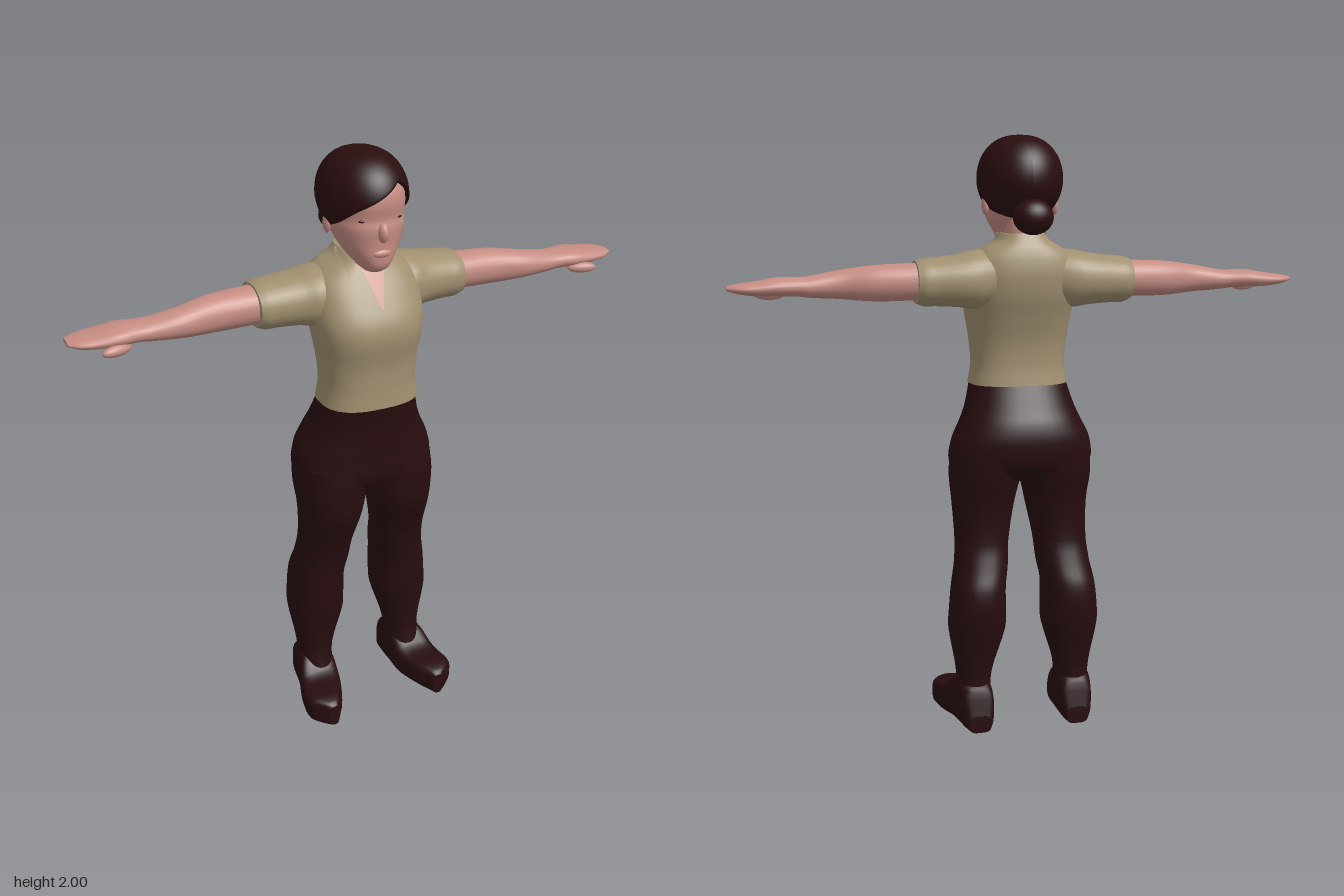
import * as THREE from 'three';

const mat = (name, color, side = THREE.FrontSide) => {
  const m = new THREE.MeshStandardMaterial({ color, side });
  m.name = name;
  return m;
};

// Smooth interpolation of a row [t, a0, a1, b0, b1] at position t
function sample(rows, t) {
  let i = 0;
  while (i < rows.length - 2 && t > rows[i + 1][0]) i++;
  const slope = (k, c) => {
    const p = rows[Math.max(0, k - 1)], n = rows[Math.min(rows.length - 1, k + 1)];
    return (n[c] - p[c]) / (n[0] - p[0]);
  };
  const p = rows[i], q = rows[i + 1], h = q[0] - p[0], s = (t - p[0]) / h;
  const s2 = s * s, s3 = s2 * s;
  return [1, 2, 3, 4].map((c) => (2 * s3 - 3 * s2 + 1) * p[c] + (3 * s2 - 2 * s3) * q[c]
    + (s3 - 2 * s2 + s) * h * slope(i, c) + (s3 - s2) * h * slope(i + 1, c));
}

function buildGeometry(pos, idx) {
  const g = new THREE.BufferGeometry();
  g.setAttribute('position', new THREE.Float32BufferAttribute(pos, 3));
  g.setIndex(idx);
  g.computeVertexNormals();
  return g;
}

// Closed body through rounded cross-sections along an axis; side -1 mirrors it in x
function loft(rows, { axis = 'y', power = 2, side = 1, segs = 32, steps = 4 } = {}) {
  const ts = [];
  for (let i = 0; i < rows.length - 1; i++)
    for (let k = 0; k < steps; k++) ts.push(rows[i][0] + (rows[i + 1][0] - rows[i][0]) * k / steps);
  ts.push(rows[rows.length - 1][0]);
  const pos = [], idx = [];
  const flip = (axis !== 'y') !== (side < 0);
  const put = (t, a, b) => {
    const [x, y, z] = axis === 'y' ? [a, t, b] : axis === 'x' ? [t, a, b] : [a, b, t];
    return pos.push(x * side, y, z) / 3 - 1;
  };
  const tri = (a, b, c) => (flip ? idx.push(a, c, b) : idx.push(a, b, c));
  const round = (v) => Math.sign(v) * Math.abs(v) ** (2 / power);
  const ring = (t) => {
    const [a0, a1, b0, b1] = sample(rows, t), ids = [];
    for (let j = 0; j < segs; j++) {
      const w = j / segs * Math.PI * 2;
      ids.push(put(t, (a0 + a1) / 2 + (a1 - a0) / 2 * round(Math.cos(w)),
        (b0 + b1) / 2 + (b1 - b0) / 2 * round(Math.sin(w))));
    }
    return ids;
  };
  const rings = ts.map(ring);
  for (let i = 0; i < rings.length - 1; i++)
    for (let j = 0; j < segs; j++) {
      const n = (j + 1) % segs, A = rings[i], B = rings[i + 1];
      tri(A[j], B[j], A[n]);
      tri(A[n], B[j], B[n]);
    }
  for (const [t, end] of [[ts[0], 0], [ts[ts.length - 1], 1]]) {
    const ids = ring(t), [a0, a1, b0, b1] = sample(rows, t);
    const c = put(t, (a0 + a1) / 2, (b0 + b1) / 2);
    for (let j = 0; j < segs; j++) {
      const n = (j + 1) % segs;
      if (end) tri(c, ids[n], ids[j]); else tri(c, ids[j], ids[n]);
    }
  }
  return buildGeometry(pos, idx);
}

// Thin sheet lying on the front of a body; edges are [x at bottom, x at top]
function frontPatch(rows, power, [y0, y1], edgeA, edgeB, offset) {
  const pos = [], idx = [], n = 12;
  for (let i = 0; i <= n; i++)
    for (let j = 0; j <= n; j++) {
      const v = i / n, y = y0 + (y1 - y0) * v;
      const xa = edgeA[0] + (edgeA[1] - edgeA[0]) * v, xb = edgeB[0] + (edgeB[1] - edgeB[0]) * v;
      const x = Math.min(xa, xb) + Math.abs(xb - xa) * j / n;
      const [a0, a1, b0, b1] = sample(rows, y);
      const r = Math.min(1, Math.abs((x - (a0 + a1) / 2) / ((a1 - a0) / 2)));
      pos.push(x, y, (b0 + b1) / 2 + (b1 - b0) / 2 * (1 - r ** power) ** (1 / power) + offset);
      if (i < n && j < n) {
        const a = i * (n + 1) + j, c = a + n + 1;
        idx.push(a, a + 1, c, a + 1, c + 1, c);
      }
    }
  return buildGeometry(pos, idx);
}

// Hair cap from the crown to a hairline given as [degrees from front, height]
function hairCap() {
  const line = [[-180, 1.73], [-130, 1.73], [-95, 1.76], [-60, 1.8], [-35, 1.845], [0, 1.89], [25, 1.925],
    [45, 1.89], [65, 1.83], [95, 1.76], [130, 1.73], [180, 1.73]];
  const pos = [], idx = [], segs = 64, rows = 18;
  for (let i = 0; i <= rows + 1; i++)
    for (let j = 0; j <= segs; j++) {
      const deg = -180 + 360 * j / segs, th = deg * Math.PI / 180;
      let k = 0;
      while (k < line.length - 2 && deg > line[k + 1][0]) k++;
      const [d0, h0] = line[k], [d1, h1] = line[k + 1];
      const low = h0 + (h1 - h0) * (deg - d0) / (d1 - d0);
      const phi = Math.acos((low - 1.86) / 0.14) * Math.min(1, i / rows);
      const r = Math.sin(phi) ** 0.85 * (i > rows ? 0.75 : 1);
      pos.push(0.14 * r * Math.sin(th), 1.86 + 0.14 * Math.cos(phi), 0.005 + 0.175 * r * Math.cos(th));
      if (i <= rows && j < segs) {
        const a = i * (segs + 1) + j, c = a + segs + 1;
        idx.push(a, c, a + 1, a + 1, c, c + 1);
      }
    }
  return buildGeometry(pos, idx);
}

export function createModel() {
  const model = new THREE.Group();
  const skin = mat('skin', 0xc68d83);
  const shirt = mat('tan shirt', 0xa19070, THREE.DoubleSide);
  const trousers = mat('dark trousers', 0x270d0f);
  const hair = mat('dark hair', 0x2a0d0f, THREE.DoubleSide);
  const add = (name, geo, material) => {
    const m = new THREE.Mesh(geo, material);
    m.name = name;
    model.add(m);
    return m;
  };
  const blob = (name, material, p, s) => {
    const m = add(name, new THREE.SphereGeometry(1, 24, 16), material);
    m.position.set(...p);
    m.scale.set(...s);
    return m;
  };

  // Shirt body with its open neck
  const torso = [
    [1.185, -0.167, 0.167, -0.092, 0.172], [1.25, -0.157, 0.157, -0.085, 0.168],
    [1.33, -0.163, 0.163, -0.09, 0.17], [1.42, -0.177, 0.177, -0.115, 0.187],
    [1.48, -0.185, 0.185, -0.135, 0.178], [1.55, -0.185, 0.185, -0.145, 0.14],
    [1.6, -0.172, 0.172, -0.14, 0.108], [1.635, -0.135, 0.135, -0.13, 0.085],
    [1.66, -0.09, 0.09, -0.118, 0.068], [1.685, -0.07, 0.07, -0.105, 0.045]];
  add('shirtBody', loft(torso, { power: 2.6, segs: 48 }), shirt);
  add('openNeck', frontPatch(torso, 2.6, [1.52, 1.68], [0, 0], [-0.001, -0.052], 0.005), skin);
  add('openNeck', frontPatch(torso, 2.6, [1.52, 1.68], [0, 0], [0.001, 0.052], 0.005), skin);

  // Hips
  add('hips', loft([
    [0.87, -0.2, 0.2, -0.11, 0.13], [0.92, -0.243, 0.243, -0.15, 0.154], [1.0, -0.235, 0.235, -0.165, 0.155],
    [1.06, -0.207, 0.207, -0.155, 0.155], [1.11, -0.186, 0.186, -0.13, 0.157], [1.19, -0.164, 0.164, -0.09, 0.168],
  ], { power: 2.3, segs: 40 }), trousers);

  // Neck and head
  add('neck', loft([
    [1.6, -0.06, 0.06, -0.09, 0.035], [1.68, -0.058, 0.058, -0.085, 0.045], [1.76, -0.06, 0.06, -0.08, 0.05]]), skin);
  add('head', loft([
    [1.637, -0.03, 0.03, 0.05, 0.125], [1.655, -0.05, 0.05, 0, 0.15], [1.69, -0.075, 0.075, -0.04, 0.157],
    [1.73, -0.1, 0.1, -0.07, 0.156], [1.78, -0.115, 0.115, -0.09, 0.16], [1.81, -0.117, 0.117, -0.1, 0.155],
    [1.86, -0.12, 0.12, -0.12, 0.162], [1.91, -0.11, 0.11, -0.12, 0.147], [1.96, -0.06, 0.06, -0.07, 0.09],
  ], { power: 2.2, segs: 40 }), skin);
  blob('nose', skin, [0, 1.772, 0.155], [0.018, 0.032, 0.024]);
  blob('lips', skin, [0, 1.705, 0.152], [0.03, 0.013, 0.011]);

  // Swept hair with a bun behind
  add('hair', hairCap(), hair);
  blob('hairBun', hair, [0, 1.74, -0.17], [0.066, 0.057, 0.057]);

  for (const side of [1, -1]) {
    const end = side > 0 ? 'Left' : 'Right';

    add('collar' + end, frontPatch(torso, 2.6, [1.575, 1.688], [0.082 * side, 0.045 * side],
      [0.092 * side, 0.085 * side], 0.012), shirt);
    blob('ear' + end, skin, [0.117 * side, 1.775, 0.0], [0.012, 0.032, 0.02]);
    blob('eye' + end, hair, [0.055 * side, 1.81, 0.137], [0.018, 0.005, 0.006]);

    // Short sleeve
    add('sleeve' + end, loft([
      [0.08, 1.46, 1.63, -0.12, 0.06], [0.16, 1.44, 1.632, -0.143, 0.085], [0.22, 1.448, 1.62, -0.145, 0.07],
      [0.3, 1.453, 1.61, -0.137, 0.06], [0.335, 1.453, 1.607, -0.135, 0.058], [0.36, 1.463, 1.6, -0.128, 0.052],
    ], { axis: 'x', power: 2.2, side }), shirt);

    // Bare arm, hand and thumb
    add('arm' + end, loft([
      [0.3, 1.475, 1.595, -0.11, 0.035], [0.4, 1.472, 1.592, -0.103, 0.032], [0.5, 1.472, 1.587, -0.092, 0.032],
      [0.6, 1.48, 1.573, -0.067, 0.045], [0.7, 1.487, 1.555, -0.07, 0.04], [0.74, 1.492, 1.553, -0.073, 0.04],
      [0.8, 1.493, 1.553, -0.085, 0.05], [0.86, 1.495, 1.543, -0.085, 0.045], [0.92, 1.503, 1.535, -0.078, 0.035],
      [0.955, 1.513, 1.528, -0.05, 0.012],
    ], { axis: 'x', power: 2.2, side, segs: 28 }), skin);
    const thumb = blob('thumb' + end, skin, [0.82 * side, 1.495, 0.045], [0.05, 0.018, 0.018]);
    thumb.rotation.y = -0.3 * side;

    // Trouser leg
    add('leg' + end, loft([
      [0.1, 0.12, 0.23, -0.105, 0.06], [0.2, 0.112, 0.235, -0.105, 0.042], [0.35, 0.068, 0.26, -0.14, 0.06],
      [0.42, 0.066, 0.257, -0.153, 0.067], [0.5, 0.066, 0.248, -0.15, 0.072], [0.57, 0.054, 0.235, -0.125, 0.08],
      [0.65, 0.047, 0.228, -0.103, 0.098], [0.78, 0.024, 0.232, -0.11, 0.148], [0.88, 0.002, 0.242, -0.135, 0.153],
      [0.96, -0.01, 0.235, -0.15, 0.15],
    ], { power: 2.3, side }), trousers);

    // Shoe, toe turned out
    add('shoe' + end, loft([
      [-0.135, 0.135, 0.21, 0, 0.06], [-0.11, 0.12, 0.228, 0, 0.15], [0, 0.115, 0.25, 0, 0.17],
      [0.06, 0.118, 0.268, 0, 0.12], [0.1, 0.128, 0.278, 0, 0.105], [0.17, 0.155, 0.283, 0, 0.1],
      [0.205, 0.178, 0.25, 0, 0.092], [0.222, 0.19, 0.225, 0, 0.08],
    ], { axis: 'z', power: 3.5, side }), trousers);
  }
  return model;
}
